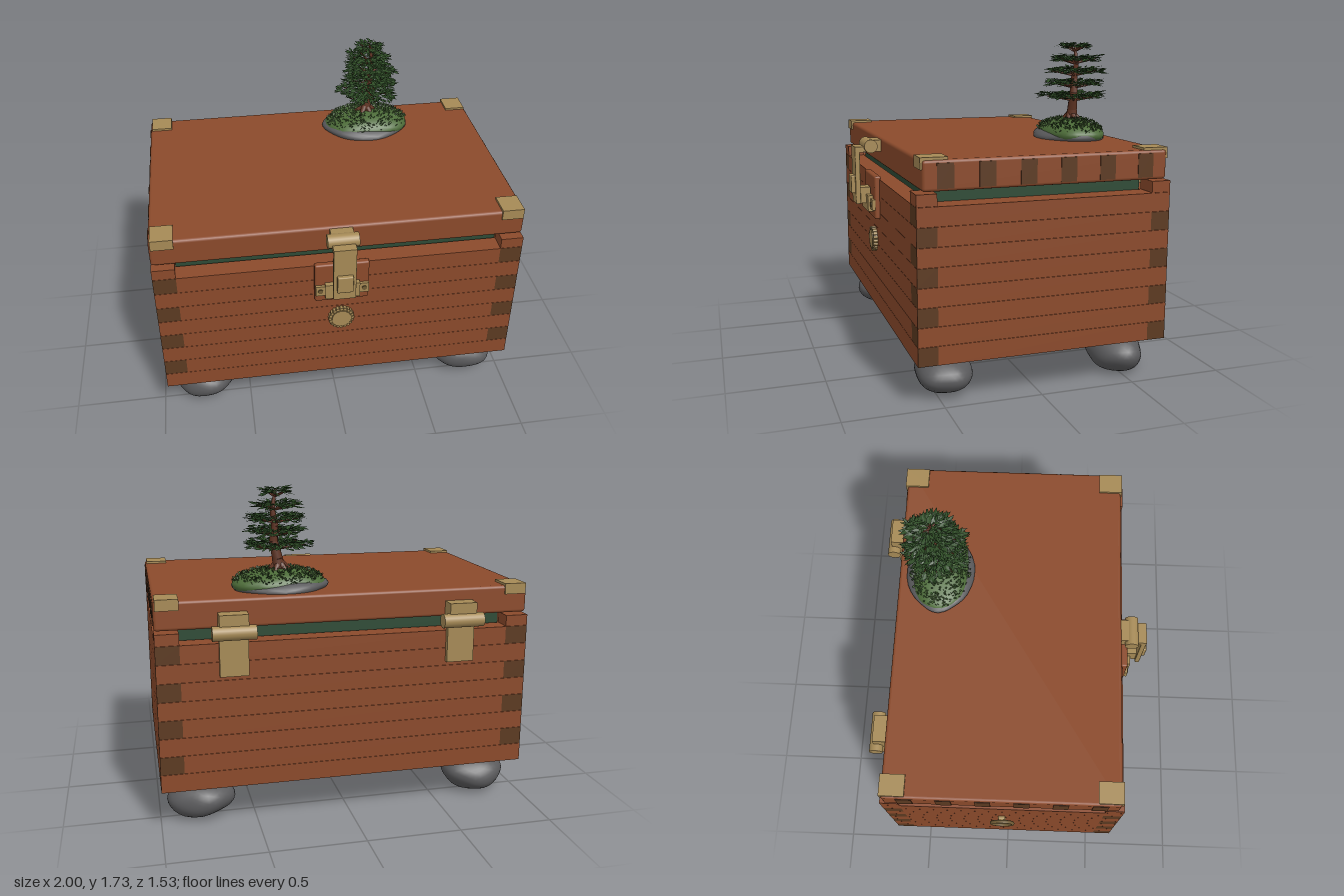
import * as THREE from 'three';
import { mergeGeometries, mergeVertices } from 'three/addons/utils/BufferGeometryUtils.js';
import { RoundedBoxGeometry } from 'three/addons/geometries/RoundedBoxGeometry.js';

const mat = (name, color, side = THREE.FrontSide) => {
  const m = new THREE.MeshStandardMaterial({ color, side });
  m.name = name;
  return m;
};

export function createModel() {
  const wood = mat('wood', 0x8b4a2b), endGrain = mat('end grain', 0x5c3a21);
  const brass = mat('brass', 0xa68a56), agedBrass = mat('aged brass', 0x6e5a34);
  const lining = mat('green lining', 0x2d4a35), stone = mat('stone', 0x5a5a5c);
  const moss = mat('moss', 0x4c6b38, THREE.DoubleSide), bark = mat('bark', 0x5f3322);
  const needles = mat('needles', 0x2f4d26, THREE.DoubleSide);

  const root = new THREE.Group();
  root.name = 'chest';
  const group = (name) => {
    const g = new THREE.Group();
    g.name = name;
    root.add(g);
    return g;
  };
  const add = (parent, name, geo, material) => {
    const m = new THREE.Mesh(geo, material);
    m.name = name;
    parent.add(m);
    return m;
  };
  // Box given by its limits on each axis, with optional rounded edges
  const box = (parent, name, material, x0, x1, y0, y1, z0, z1, r = 0) => {
    const s = [x1 - x0, y1 - y0, z1 - z0];
    const m = add(parent, name, r ? new RoundedBoxGeometry(...s, 2, r) : new THREE.BoxGeometry(...s), material);
    m.position.set((x0 + x1) / 2, (y0 + y1) / 2, (z0 + z1) / 2);
    return m;
  };
  // Cylinder lying along x, or along z
  const rod = (parent, name, material, r, len, x, y, z, axis = 'x') => {
    const geo = new THREE.CylinderGeometry(r, r, len, 24);
    axis === 'x' ? geo.rotateZ(Math.PI / 2) : geo.rotateX(Math.PI / 2);
    const m = add(parent, name, geo, material);
    m.position.set(x, y, z);
    return m;
  };
  let seed = 7;
  const rand = () => (seed = (seed * 16807) % 2147483647) / 2147483647;
  const jitter = (a) => (rand() * 2 - 1) * a;

  const X0 = -0.965, X1 = 0.995, Z0 = -0.68, Z1 = 0.63, TX = 0.12, TZ = 0.1, Y0 = 0.22, H = 0.0962;

  // Box body: interlocking boards, with end grain showing at the corners
  const body = group('body');
  box(body, 'base panel', wood, -0.885, 0.91, 0.19, 0.23, -0.58, 0.53);
  box(body, 'core', endGrain, X0 + 0.05, X1 - 0.05, 0.222, 0.97, Z0 + 0.05, Z1 - 0.05);
  box(body, 'lining', lining, X0 + TX, X1 - TX, 0.9, 1.048, -0.57, 0.52);
  const xEnds = [endGrain, endGrain, wood, wood, wood, wood];
  const zEnds = [wood, wood, wood, wood, endGrain, endGrain];
  for (let k = 0; k < 8; k++) {
    const a = Y0 + k * H, b = a + H - 0.0015, even = k % 2 === 0;
    const ix = even ? 0 : TX, iz = even ? TZ : 0;
    box(body, 'frontBoard', even ? xEnds : wood, X0 + ix, X1 - ix, a, b, Z1 - TZ, Z1);
    box(body, 'backBoard', even ? xEnds : wood, X0 + ix, X1 - ix, a, b, Z0, Z0 + TZ);
    box(body, 'rightBoard', even ? wood : zEnds, X0, X0 + TX, a, b, Z0 + iz, Z1 - iz);
    box(body, 'leftBoard', even ? wood : zEnds, X1 - TX, X1, a, b, Z0 + iz, Z1 - iz);
  }
  for (const x of [X0, X1 - TX]) for (const z of [Z0, Z1 - TZ])
    box(body, 'cornerTop', wood, x, x + TX, Y0 + 8 * H, 1.048, z, z + TZ);

  // Lid with end grain inlays and brass corner caps
  const lid = group('lid');
  box(lid, 'lid panel', wood, X0, X1, 1.057, 1.205, -0.655, 0.6, 0.016);
  for (let i = 0; i < 6; i++) {
    const z = 0.49 - i * 0.2055;
    for (const x of [X0, X1])
      box(lid, 'end grain inlay', endGrain, x - 0.003, x + 0.003, 1.07, 1.19, z - 0.041, z + 0.041);
  }
  for (const x of [-0.955, 0.87]) for (const front of [true, false]) {
    const za = front ? 0.475 : -0.663, zb = front ? 0.608 : -0.53;
    box(lid, 'corner cap', brass, x, x + 0.116, 1.2, 1.217, za, zb);
    box(lid, 'corner cap flange', brass, x, x + 0.116, 1.16, 1.21, front ? 0.595 : za, front ? zb : -0.65);
  }

  // Hinges
  for (const x of [-0.58, 0.61]) {
    const hinge = group('hinge');
    rod(hinge, 'barrel', brass, 0.037, 0.22, x, 1.048, -0.722);
    box(hinge, 'upper leaf', brass, x - 0.073, x + 0.073, 1.05, 1.14, -0.733, -0.65);
    box(hinge, 'lower leaf', brass, x - 0.073, x + 0.073, 0.82, 1.05, -0.705, -0.675);
  }

  // Front latch
  const latch = group('latch'), C = 0.013;
  const slab = (name, m, w, y0, y1, z0, z1, r) => box(latch, name, m, C - w, C + w, y0, y1, z0, z1, r);
  slab('backing plate', wood, 0.145, 0.765, 1.005, 0.62, 0.657, 0.01);
  slab('keeper', brass, 0.092, 0.8, 0.89, 0.65, 0.685);
  slab('keeper ears', brass, 0.142, 0.815, 0.875, 0.65, 0.672);
  slab('keeper hook', brass, 0.04, 0.84, 0.93, 0.66, 0.725);
  slab('lid mount', brass, 0.06, 1.13, 1.195, 0.595, 0.65);
  rod(latch, 'pivot', brass, 0.037, 0.165, C, 1.163, 0.66);
  slab('arm', brass, 0.06, 1.13, 1.16, 0.67, 0.745);
  slab('strap', brass, 0.06, 0.84, 1.16, 0.718, 0.745, 0.006);
  slab('strap button', brass, 0.042, 0.9, 1.0, 0.74, 0.767, 0.006);
  for (const s of [-1, 1]) rod(latch, 'screw', agedBrass, 0.013, 0.008, C + s * 0.117, 0.845, 0.673, 'z');

  // Round medallion with a notched rim
  const medallion = group('medallion');
  rod(medallion, 'rim', agedBrass, 0.066, 0.024, 0.014, 0.625, 0.64, 'z');
  rod(medallion, 'face', brass, 0.052, 0.028, 0.014, 0.625, 0.643, 'z');
  for (let i = 0; i < 20; i++) {
    const a = i * Math.PI / 10;
    rod(medallion, 'rim bead', brass, 0.007, 0.026, 0.014 + 0.064 * Math.cos(a), 0.625 + 0.064 * Math.sin(a), 0.641, 'z');
  }

  // Ring pull on the right side
  const pull = group('ring pull');
  box(pull, 'mount', brass, -0.984, -0.96, 0.68, 0.76, -0.05, -0.01, 0.008);
  const ring = add(pull, 'ring', new THREE.TorusGeometry(0.061, 0.01, 10, 32).rotateY(Math.PI / 2), agedBrass);
  ring.position.set(-0.988, 0.645, -0.028);

  // Rounded, uneven boulder
  const boulder = (phase, rx, ry, rz) => {
    let g = new THREE.IcosahedronGeometry(1, 5);
    g.deleteAttribute('normal');
    g.deleteAttribute('uv');
    g = mergeVertices(g, 1e-4);
    const p = g.attributes.position, v = new THREE.Vector3();
    for (let i = 0; i < p.count; i++) {
      v.fromBufferAttribute(p, i);
      const n = Math.sin(v.x * 3.1 + phase) * Math.sin(v.y * 2.7 + phase * 2) + Math.sin(v.z * 4.3 - phase) * Math.cos(v.x * 3.7 + phase) * 0.7;
      v.multiplyScalar(0.97 + 0.06 * n).multiply(new THREE.Vector3(rx, ry, rz));
      p.setXYZ(i, v.x, v.y, v.z);
    }
    g.computeVertexNormals();
    return g;
  };
  const feet = group('feet');
  [-0.758, 0.785].forEach((x, i) => [0.455, -0.503].forEach((z, j) => {
    add(feet, 'stoneFoot', boulder(i * 2 + j + 0.6, 0.178, 0.104, 0.15), stone).position.set(x, 0.108, z);
  }));

  // Pointed leaf: diamond of two triangles, tipped up by a small angle
  const leaf = (x, y, z, yaw, pitch, len, w) => {
    const g = new THREE.BufferGeometry();
    g.setAttribute('position', new THREE.Float32BufferAttribute([0, 0, 0, len * 0.45, 0, w, len, 0, 0, len * 0.45, 0, -w], 3));
    g.setIndex([0, 1, 2, 0, 2, 3]);
    g.computeVertexNormals();
    return g.rotateX(jitter(0.5)).rotateZ(pitch).rotateY(-yaw).translate(x, y, z);
  };

  // Mossy rock
  const islet = group('mossy rock');
  add(islet, 'rock', boulder(1.3, 0.268, 0.062, 0.19), stone).position.set(0.33, 1.215, -0.42);
  add(islet, 'moss cushion', boulder(2.1, 0.248, 0.085, 0.174), moss).position.set(0.335, 1.228, -0.42);
  const tufts = [], sprigs = [];
  for (let i = 0; i < 700; i++) {
    const a = rand() * Math.PI * 2, r = Math.sqrt(rand()) * 0.97;
    const y = 1.226 + 0.083 * Math.sqrt(1 - r * r);
    (i % 4 ? tufts : sprigs).push(leaf(0.335 + 0.245 * r * Math.cos(a), y, -0.42 + 0.17 * r * Math.sin(a),
      a + jitter(1.5), 0.3 + rand() * 0.9, 0.022, 0.006));
  }
  add(islet, 'moss tufts', mergeGeometries(tufts), moss);
  add(islet, 'dark moss tufts', mergeGeometries(sprigs), needles);

  // Trunk, roots and branches as tapered limbs
  const tree = group('small tree'), limbs = [];
  const limb = (a, b, r0, r1) => {
    const p = new THREE.Vector3(...a), d = new THREE.Vector3(...b).sub(p);
    const g = new THREE.CylinderGeometry(r1, r0, d.length(), 8).translate(0, d.length() / 2, 0);
    g.applyQuaternion(new THREE.Quaternion().setFromUnitVectors(new THREE.Vector3(0, 1, 0), d.normalize()));
    limbs.push(g.translate(p.x, p.y, p.z));
  };
  const trunk = [[0.33, 1.28, -0.43, 0.038], [0.34, 1.36, -0.432, 0.028], [0.36, 1.45, -0.43, 0.023],
    [0.352, 1.53, -0.436, 0.019], [0.365, 1.61, -0.44, 0.014], [0.35, 1.715, -0.44, 0.005]];
  for (let i = 0; i < 5; i++) limb(trunk[i].slice(0, 3), trunk[i + 1].slice(0, 3), trunk[i][3], trunk[i + 1][3]);
  for (let i = 0; i < 6; i++)
    limb([0.33 + 0.075 * Math.cos(i * 1.05), 1.285, -0.43 + 0.06 * Math.sin(i * 1.05)], [0.333, 1.345, -0.431], 0.01, 0.02);

  // Flat foliage tiers: height, centre x and z, radii
  const tiers = [[1.44, 0.34, -0.43, 0.215, 0.225, 420], [1.51, 0.35, -0.44, 0.172, 0.19, 330],
    [1.577, 0.353, -0.437, 0.182, 0.19, 330], [1.643, 0.342, -0.45, 0.145, 0.168, 260], [1.71, 0.345, -0.442, 0.078, 0.092, 120]];
  const leaves = [];
  for (const [y, cx, cz, rx, rz, n] of tiers) {
    for (let i = 0; i < 6; i++) {
      const a = i * 1.05 + y * 9;
      limb([0.352, y - 0.03, -0.436], [cx + rx * 0.7 * Math.cos(a), y - 0.003, cz + rz * 0.7 * Math.sin(a)], 0.007, 0.003);
    }
    for (let i = 0; i < n; i++) {
      const a = rand() * Math.PI * 2, lobe = 0.86 + 0.14 * Math.sin(a * 5 + y * 20);
      const r = Math.sqrt(rand()) * 0.78 * lobe;
      leaves.push(leaf(cx + rx * r * Math.cos(a), y + jitter(0.014), cz + rz * r * Math.sin(a),
        a + jitter(1.1), jitter(0.25), 0.04 + rand() * 0.02, 0.009));
    }
  }
  add(tree, 'trunk and branches', mergeGeometries(limbs), bark);
  add(tree, 'foliage', mergeGeometries(leaves), needles);
  return root;
}
